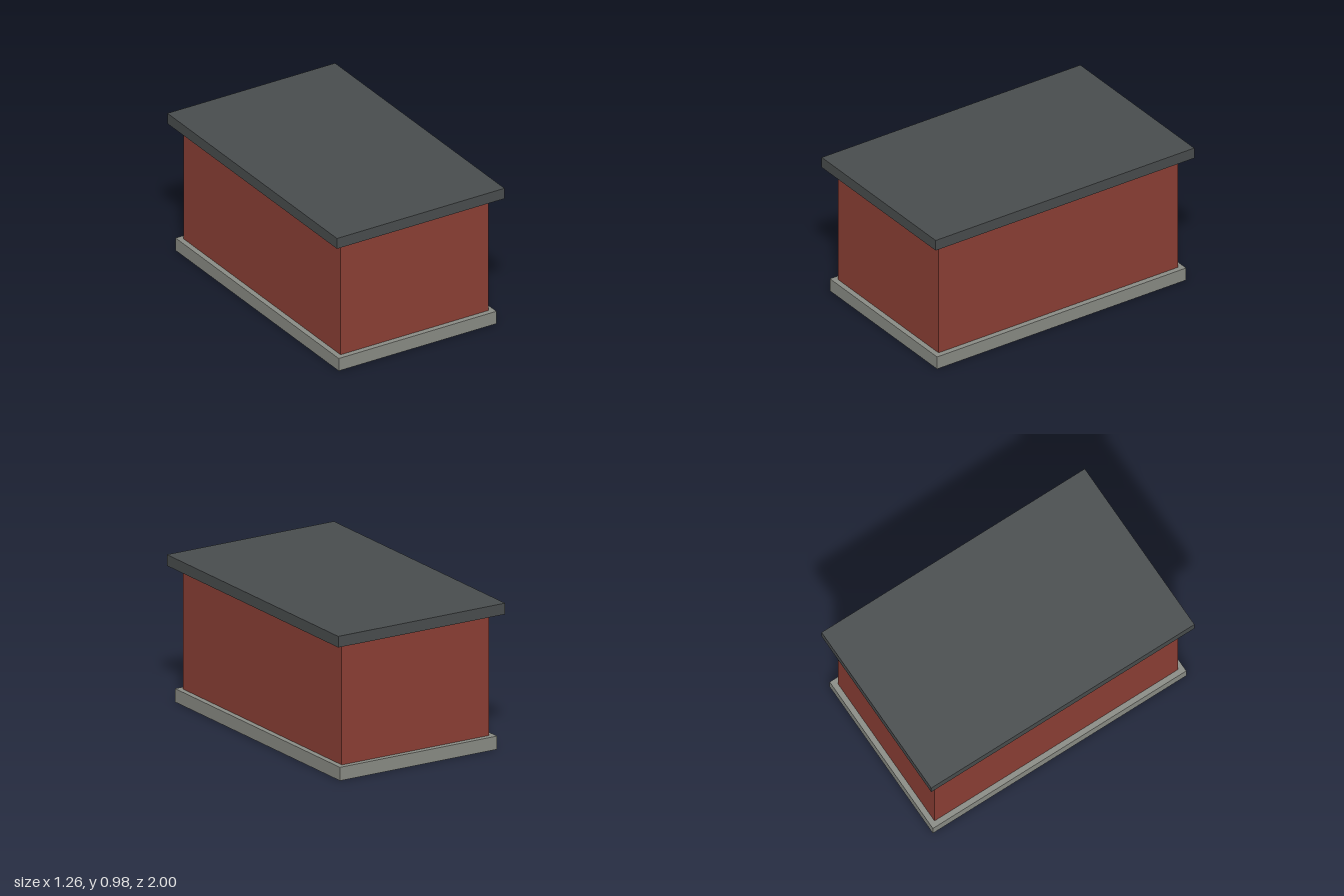
import * as THREE from 'three';

// Adds a centred box slab resting at height y
function addBlock(group, name, color, [w, h, d], y) {
  const mesh = new THREE.Mesh(
    new THREE.BoxGeometry(w, h, d),
    new THREE.MeshStandardMaterial({ color })
  );
  mesh.name = name;
  mesh.position.y = y + h / 2;
  group.add(mesh);
}

export function createModel() {
  const group = new THREE.Group();
  group.name = 'building';

  // Stone plinth, brick walls, overhanging flat roof
  addBlock(group, 'foundation', 0x8c8e87, [1.185, 0.089, 1.926], 0);
  addBlock(group, 'walls', 0x8e4036, [1.111, 0.815, 1.852], 0.089);
  addBlock(group, 'roof', 0x4a4e4f, [1.259, 0.074, 2], 0.904);

  return group;
}
